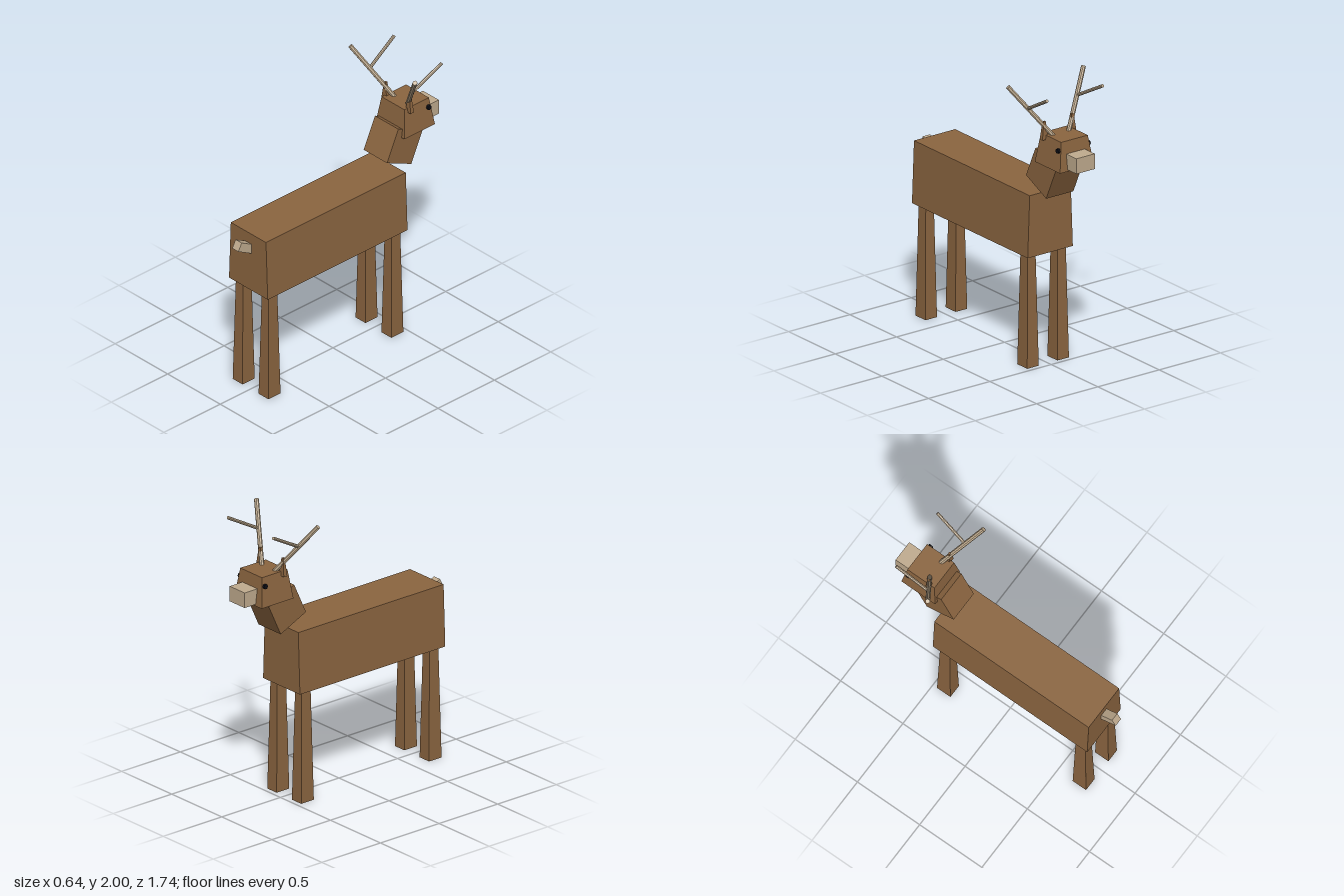
import * as THREE from 'three';

const material = (name, color) => {
  const m = new THREE.MeshStandardMaterial({ color });
  m.name = name;
  return m;
};

export function createModel() {
  const brown = material('brown fur', 0x8b6540);
  const tan = material('tan', 0xc0ab8e);
  const black = material('black', 0x0c0c14);
  const deer = new THREE.Group();
  deer.name = 'deer';

  const add = (name, geometry, mat, x, y, z, rx = 0) => {
    const flat = geometry.toNonIndexed();
    flat.computeVertexNormals();
    const mesh = new THREE.Mesh(flat, mat);
    mesh.name = name;
    mesh.position.set(x, y, z);
    mesh.rotation.x = rx;
    deer.add(mesh);
    return mesh;
  };

  // Box whose top face has its own size and sideways shift
  const taperedBox = (w, h, d, topW = w, topD = d, shiftX = 0) => {
    const g = new THREE.BoxGeometry(w, h, d);
    const p = g.attributes.position;
    for (let i = 0; i < p.count; i++) {
      if (p.getY(i) > 0) {
        p.setX(i, p.getX(i) * topW / w + shiftX);
        p.setZ(i, p.getZ(i) * topD / d);
      }
    }
    return g;
  };

  // Straight faceted rod between two points
  const rod = (name, from, to, r) => {
    const a = new THREE.Vector3(...from), b = new THREE.Vector3(...to);
    const dir = b.clone().sub(a);
    const mid = a.clone().add(b).multiplyScalar(0.5);
    const mesh = add(name, new THREE.CylinderGeometry(r, r, dir.length(), 8), tan, mid.x, mid.y, mid.z);
    mesh.quaternion.setFromUnitVectors(new THREE.Vector3(0, 1, 0), dir.normalize());
  };

  // Trunk, neck and head
  add('body', taperedBox(0.368, 0.432, 1.24, 0.335), brown, 0, 0.996, 0.13);
  add('neck', taperedBox(0.222, 0.24, 0.237), brown, 0, 1.368, -0.534, -0.43);
  add('head', taperedBox(0.276, 0.202, 0.271, 0.217, 0.217), brown, 0, 1.549, -0.641);
  add('muzzle', taperedBox(0.15, 0.106, 0.13), tan, 0, 1.512, -0.804);
  add('tail', taperedBox(0.058, 0.062, 0.14), tan, 0, 1.121, 0.79, -0.5);

  for (const s of [1, -1]) {
    const side = s > 0 ? 'left' : 'right';
    // Legs, narrower at the top
    for (const [end, z] of [['front', -0.413], ['rear', 0.677]]) {
      add(`${end} leg ${side}`, taperedBox(0.094, 0.78, 0.107, 0.066, 0.076), brown, s * 0.123, 0.39, z);
    }

    // Face details
    const eye = add(`eye ${side}`, new THREE.CylinderGeometry(0.017, 0.017, 0.03, 8), black, s * 0.117, 1.589, -0.735);
    eye.rotation.z = Math.PI / 2;
    add(`ear ${side}`, taperedBox(0.05, 0.125, 0.03, 0.016, 0.014), brown, s * 0.114, 1.682, -0.574);

    // Antler beam and forward tine
    rod(`antler ${side}`, [s * 0.058, 1.635, -0.607], [s * 0.308, 1.988, -0.441], 0.016);
    rod(`tine ${side}`, [s * 0.202, 1.835, -0.515], [s * 0.227, 1.967, -0.754], 0.011);
  }
  return deer;
}
